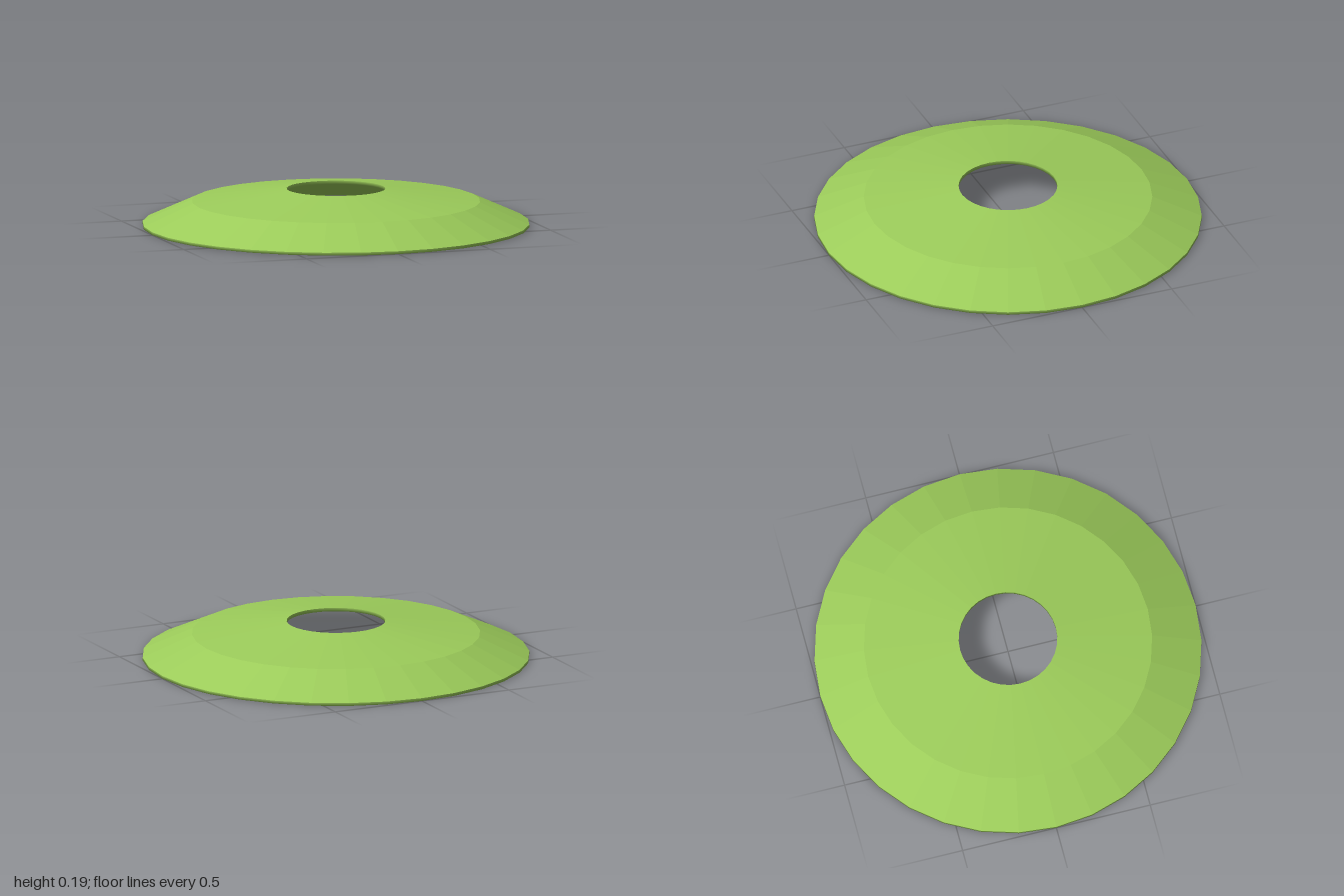
import * as THREE from 'three';

const SEGMENTS = 32;

// Revolve a profile of [radius, height] pairs around the y axis
function revolve(name, profile, material) {
  const points = profile.map(([r, y]) => new THREE.Vector2(r, y));
  const mesh = new THREE.Mesh(new THREE.LatheGeometry(points, SEGMENTS), material);
  mesh.name = name;
  return mesh;
}

export function createModel() {
  const group = new THREE.Group();
  group.name = 'discShell';
  const color = 0x9ccc5a;

  // Faceted upper side: steep outer band, then a shallow slope up to the hole
  const topMaterial = new THREE.MeshStandardMaterial({ color, flatShading: true });
  group.add(revolve('upperShell', [[1, 0.015], [0.745, 0.13], [0.255, 0.195]], topMaterial));

  // Smooth hollow underside, running from the hole wall to the thin outer rim
  const underMaterial = new THREE.MeshStandardMaterial({ color });
  group.add(revolve('underside', [
    [0.255, 0.195], [0.255, 0.177], [0.74, 0.113], [1, 0], [1, 0.015],
  ], underMaterial));

  return group;
}
